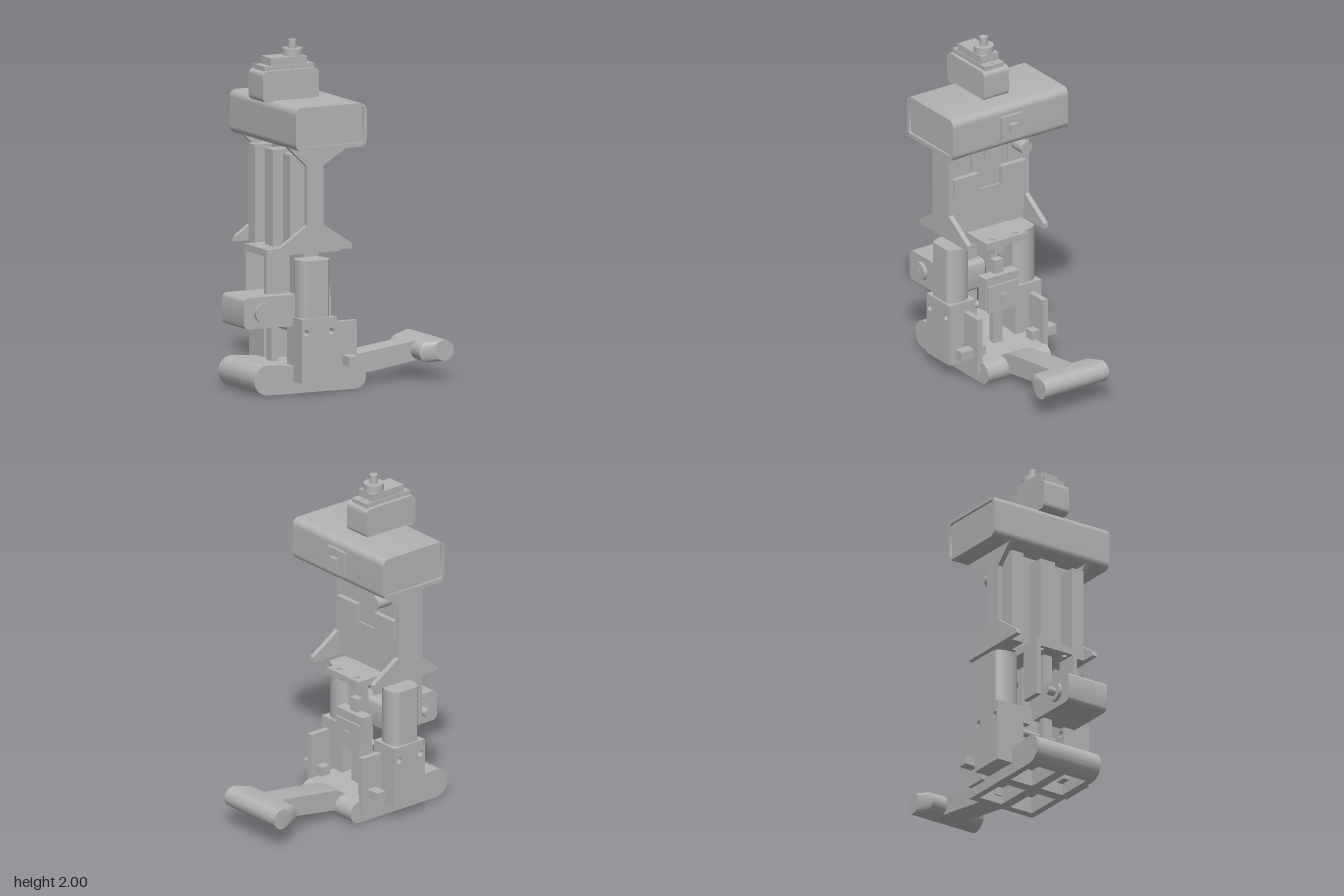
import * as THREE from 'three';
import { toCreasedNormals } from 'three/addons/utils/BufferGeometryUtils.js';

export function createModel() {
  const root = new THREE.Group();
  root.name = 'robotLeg';
  const grey = new THREE.MeshStandardMaterial({ color: 0xb3b3b3 });
  grey.name = 'grey';

  const add = (name, geo) => {
    const m = new THREE.Mesh(geo, grey);
    m.name = name;
    root.add(m);
    return m;
  };
  // Box given by its limits on each axis
  const box = (name, x0, x1, y0, y1, z0, z1) =>
    add(name, new THREE.BoxGeometry(x1 - x0, y1 - y0, z1 - z0)
      .translate((x0 + x1) / 2, (y0 + y1) / 2, (z0 + z1) / 2));
  // Profile in x/y extruded from z0 to z1
  const extrude = (shape, z0, z1, steps = 1) =>
    new THREE.ExtrudeGeometry(shape, { depth: z1 - z0, steps, bevelEnabled: false, curveSegments: 14 })
      .translate(0, 0, z0);
  const slab = (name, shape, z0, z1) => add(name, toCreasedNormals(extrude(shape, z0, z1), 0.6));
  const poly = (pts) => new THREE.Shape(pts.map(([x, y]) => new THREE.Vector2(x, y)));
  const hole = (shape, x, y, r) => {
    shape.holes.push(new THREE.Path().absarc(x, y, r, 0, Math.PI * 2, true));
    return shape;
  };
  const rounded = (x0, x1, y0, y1, r) => {
    const s = new THREE.Shape(), h = Math.PI / 2;
    s.absarc(x1 - r, y0 + r, r, -h, 0);
    s.absarc(x1 - r, y1 - r, r, 0, h);
    s.absarc(x0 + r, y1 - r, r, h, 2 * h);
    s.absarc(x0 + r, y0 + r, r, 2 * h, 3 * h);
    s.closePath();
    return s;
  };
  // Cylinder from a to b along an axis
  const cyl = (name, axis, r, a, b, x, y, z) => {
    const g = new THREE.CylinderGeometry(r, r, b - a, 32);
    const mid = (a + b) / 2;
    if (axis === 'x') g.rotateZ(Math.PI / 2).translate(mid, y, z);
    else if (axis === 'z') g.rotateX(Math.PI / 2).translate(x, y, mid);
    else g.translate(x, mid, z);
    return add(name, g);
  };
  // Flat plate in x/z with holes, from y0 to y1
  const plate = (name, x0, x1, y0, y1, zHalf, holes, r) => {
    const s = poly([[x0, -zHalf], [x1, -zHalf], [x1, zHalf], [x0, zHalf]]);
    holes.forEach(([x, z]) => hole(s, x, z, r));
    return add(name, extrude(s, 0, y1 - y0).rotateX(-Math.PI / 2).translate(0, y0, 0));
  };

  // Foot: rounded outline, with four blind pockets underneath
  const footProfile = (pockets) => {
    const s = new THREE.Shape(), h = Math.PI / 2;
    s.absarc(0.04, 0.066, 0.065, -h, h - 0.06);
    s.absarc(-0.525, 0.089, 0.086, h, 3 * h);
    pockets.forEach(([a, b]) => {
      s.lineTo(a, 0.003); s.lineTo(a, 0.1); s.lineTo(b, 0.1); s.lineTo(b, 0.002);
    });
    s.closePath();
    return s;
  };
  const pockets = [[-0.52, -0.29], [-0.22, 0.01]];
  slab('footRib', footProfile([]), -0.03, 0.03);
  for (const s of [-1, 1]) {
    const span = (a, b) => (s > 0 ? [a, b] : [-b, -a]);
    slab('footSide', footProfile([]), ...span(0.18, 0.22));
    slab('footPocket', footProfile(pockets), ...span(0.03, 0.18));
  }

  // Toe arm and cross bar, whose inner side tapers away at the ends
  slab('toeArm', poly([[0.0, 0.05], [0.1, 0.05], [0.58, 0.122], [0.6, 0.235], [0.1, 0.17], [0.0, 0.12]]), -0.08, 0.075);
  const bar = new THREE.Shape();
  bar.absarc(0.61, 0.18, 0.06, -1.45, 1.7);
  bar.absarc(0.53, 0.17, 0.06, 1.7, Math.PI * 2 - 1.45);
  bar.closePath();
  const barGeo = extrude(bar, -0.22, 0.22, 11);
  const p = barGeo.attributes.position;
  for (let i = 0; i < p.count; i++) {
    const dx = p.getX(i) - 0.53, dy = p.getY(i) - 0.17;
    const onInner = Math.abs(Math.hypot(dx, dy) - 0.06) < 0.001 && dx < 0.03;
    if (Math.abs(p.getZ(i)) > 0.2 && onInner) p.setXY(i, p.getX(i) + 0.078, p.getY(i) + 0.01);
  }
  barGeo.computeVertexNormals();
  add('toeBar', toCreasedNormals(barGeo, 0.6));

  // Double-flat motor outline in x/z
  const motor = new THREE.Shape();
  const flat = Math.asin(0.75);
  motor.absarc(0, 0, 0.1, -flat, flat);
  motor.absarc(0, 0, 0.1, Math.PI - flat, Math.PI + flat);
  motor.closePath();

  for (const s of [-1, 1]) {
    const span = (a, b) => (s > 0 ? [a, b] : [-b, -a]);
    // Leg gearbox with two cross holes, and the motor standing on it
    const g = poly([[-0.36, 0.07], [-0.135, 0.07], [-0.135, 0.44], [-0.36, 0.44]]);
    hole(g, -0.33, 0.36, 0.018);
    hole(g, -0.17, 0.36, 0.018);
    slab('legGearbox', g, ...span(0.14, 0.32));
    add('legMotor', toCreasedNormals(extrude(motor, 0, 0.33).rotateX(-Math.PI / 2), 0.6))
      .position.set(-0.25, 0.44, 0.23 * s);
    // Ankle plate with peg
    box('anklePlate', -0.1, 0.035, 0.06, 0.4, ...span(0.21, 0.245));
    box('anklePeg', -0.06, 0, 0.15, 0.205, ...span(0.16, 0.33));
    // Hip side plate
    box('hipBracket', -0.49, -0.36, 0.48, 0.79, ...span(0.11, 0.14));
    // Flared torso strut
    slab('torsoStrut', poly([
      [-0.49, 0.82], [-0.015, 0.82], [-0.015, 0.85], [-0.2, 0.97], [-0.2, 1.31], [0, 1.43],
      [-0.43, 1.43], [-0.305, 1.31], [-0.305, 0.97], [-0.48, 0.85]]), ...span(0.25, 0.28));
    // Chest pads and back rails
    box('chestPad', -0.24, -0.185, 1.08, 1.19, ...span(0.08, 0.25));
    box('backRail', -0.4, -0.28, 0.82, 1.38, ...span(0.17, 0.25));
  }

  // Centre posts with front lugs
  box('rearPost', -0.4, -0.36, 0.1, 0.79, -0.03, 0.03);
  box('frontPost', -0.15, -0.11, 0.1, 0.58, -0.03, 0.03);
  box('frontPost', -0.19, -0.145, 0.44, 0.79, -0.025, 0.025);
  for (const [a, b] of [[0.58, 0.66], [0.7, 0.79]]) box('postLug', -0.15, -0.1, a, b, -0.03, 0.03);
  cyl('legAxle', 'z', 0.02, -0.15, 0.15, -0.25, 0.34, 0);

  // Front sensor with raised button
  box('frontSensorBody', -0.14, -0.07, 0.38, 0.58, -0.115, 0.115);
  box('frontSensorPlate', -0.07, -0.057, 0.365, 0.53, -0.105, 0.105);
  box('frontSensorButton', -0.057, -0.045, 0.43, 0.47, -0.02, 0.02);

  // Lower servo with its output towards the back
  slab('hipServo', rounded(-0.675, -0.31, 0.39, 0.57, 0.03), -0.05, 0.215);
  cyl('hipServoCap', 'z', 0.055, 0.215, 0.235, -0.555, 0.48, 0);
  cyl('hipServoCapScrew', 'z', 0.015, 0.235, 0.238, -0.555, 0.48, 0);
  cyl('hipServoDisc', 'z', 0.055, -0.07, -0.05, -0.555, 0.48, 0);
  cyl('hipServoShaft', 'z', 0.025, -0.12, -0.07, -0.555, 0.48, 0);

  // Waist plate
  plate('waistPlate', -0.49, -0.02, 0.785, 0.825, 0.14,
    [[-0.45, -0.08], [-0.45, 0.08], [-0.06, -0.08], [-0.06, 0.08]], 0.016);

  // Chest board and modules
  box('chestBoard', -0.29, -0.215, 0.82, 1.43, -0.25, 0.25);
  box('chestLowerPanel', -0.215, -0.205, 0.855, 1.08, -0.25, 0.25);
  box('backSpine', -0.4, -0.28, 0.82, 1.38, -0.05, 0.05);
  box('chestModule', -0.215, -0.195, 1.21, 1.415, -0.12, 0.12);
  box('chestButton', -0.195, -0.183, 1.27, 1.345, -0.04, 0.04);
  box('lampBase', -0.215, -0.195, 1.215, 1.41, -0.25, -0.13);
  cyl('lamp', 'x', 0.039, -0.2, -0.095, 0, 1.31, -0.19);

  // Top housing: rounded sleeve with recessed ends
  const sleeve = rounded(-0.44, 0.015, 1.42, 1.67, 0.04);
  sleeve.holes.push(new THREE.Path(rounded(-0.42, -0.005, 1.443, 1.648, 0.015).getPoints(6).reverse()));
  slab('topHousing', sleeve, -0.4, 0.4);
  box('housingCore', -0.425, 0.0, 1.44, 1.65, -0.385, 0.385);
  box('housingSensorPlate', 0.01, 0.033, 1.465, 1.615, -0.075, 0.075);
  box('housingSensorButton', 0.033, 0.058, 1.518, 1.568, -0.025, 0.025);

  // Head servo
  slab('headServo', rounded(-0.485, -0.125, 1.66, 1.84, 0.03), -0.087, 0.087);
  plate('headServoFlange', -0.465, -0.143, 1.838, 1.865, 0.065, [[-0.445, 0], [-0.167, 0]], 0.011);
  box('headServoTop', -0.42, -0.19, 1.865, 1.91, -0.06, 0.06);
  cyl('headServoDisc', 'y', 0.058, 1.91, 1.95, -0.25, 0, 0);
  cyl('headServoShaft', 'y', 0.024, 1.95, 2.0, -0.25, 0, 0);

  return root;
}
